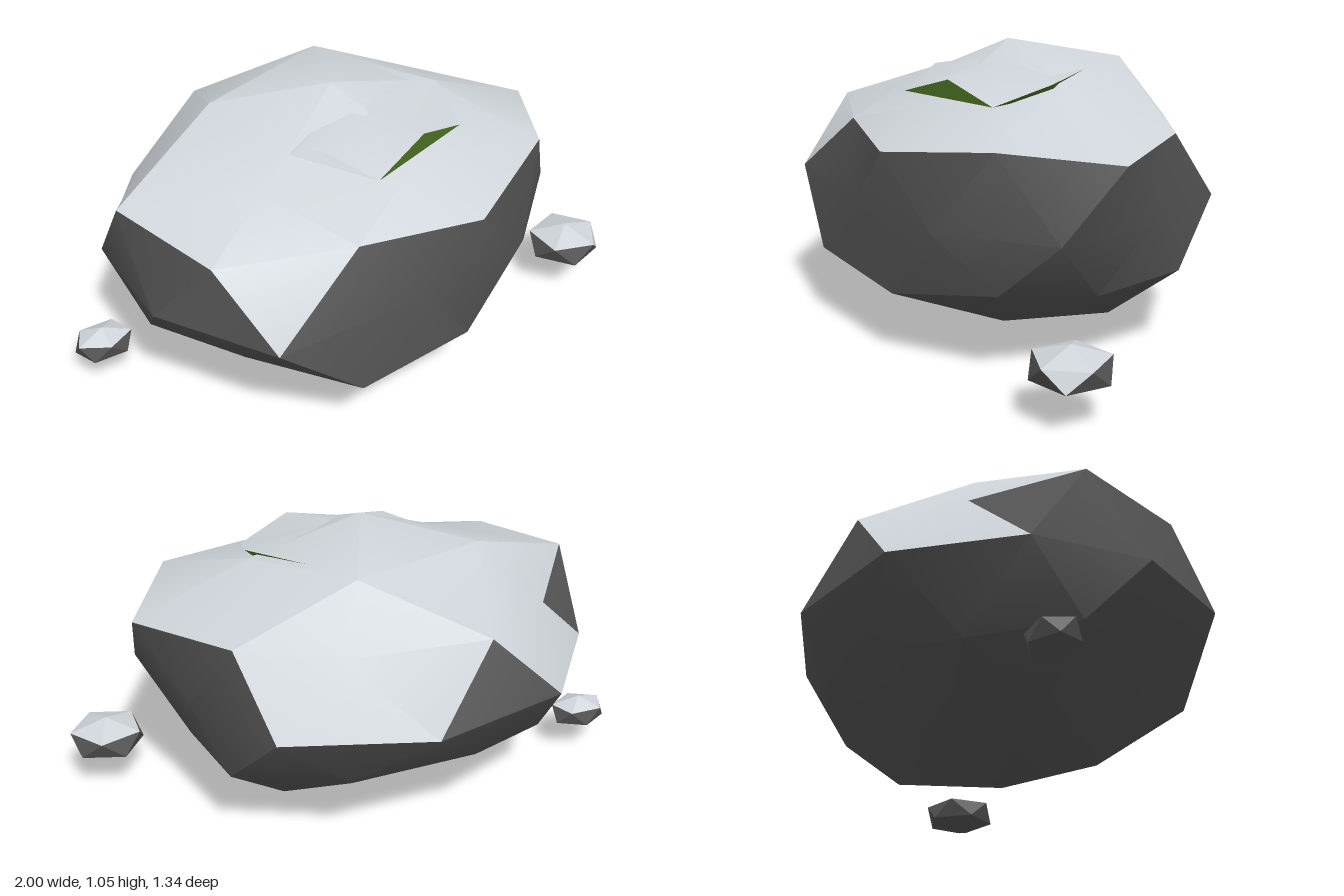
import * as THREE from 'three';
import { toCreasedNormals } from 'three/addons/utils/BufferGeometryUtils.js';

const mat = (name, color, extra = {}) =>
  Object.assign(new THREE.MeshStandardMaterial({ color, ...extra }), { name });

// Triangles in two lists (one per material) become one creased geometry with groups
function facetMesh(name, lists, materials, crease) {
  const flat = [];
  const g = new THREE.BufferGeometry();
  lists.forEach((tris, m) => {
    g.addGroup(flat.length / 3, tris.length * 3, m);
    tris.forEach(t => t.forEach(v => flat.push(v.x, v.y, v.z)));
  });
  g.setAttribute('position', new THREE.Float32BufferAttribute(flat, 3));
  g.computeVertexNormals();
  const mesh = new THREE.Mesh(crease ? toCreasedNormals(g, crease) : g, materials);
  mesh.name = name;
  return mesh;
}

const normalOf = t => new THREE.Triangle(...t).getNormal(new THREE.Vector3());

// Boulder: a squashed, once-divided icosahedron laid out in rings, some corners pushed
function makeBoulder(materials) {
  const centre = new THREE.Vector3(-0.05, 0.527, 0.04);
  const V = {};
  const ring = (key, count, lat, start) => {
    for (let i = 0; i < count; i++) {
      const a = THREE.MathUtils.degToRad(start + i * 360 / count);
      const r = Math.sqrt(1 - lat * lat);
      V[key + i] = new THREE.Vector3(r * Math.cos(a) * 0.84, lat * 0.523, r * Math.sin(a) * 0.68).add(centre);
    }
  };
  ring('top', 1, 1, 0);
  ring('crown', 5, 0.851, 0);
  ring('rim', 5, 0.447, 0);
  ring('rimMid', 5, 0.526, 36);
  ring('waist', 10, 0, 18);
  ring('lowMid', 5, -0.526, 0);
  ring('low', 5, -0.447, 36);
  ring('foot', 5, -0.851, 36);
  ring('base', 1, -1, 0);

  const pushed = {
    crown0: [0.36, 0.94, 0.04], crown1: [0.1, 0.88, 0.36], crown2: [-0.44, 0.86, 0.26],
    crown4: [0.1, 0.98, -0.33],
    rim0: [0.775, 0.77, 0.04], rim1: [0.18, 0.75, 0.62], rim2: [-0.71, 0.77, 0.42],
    rim3: [-0.62, 0.75, -0.28], rim4: [0.2, 0.77, -0.46],
    rimMid0: [0.58, 0.81, 0.4], rimMid1: [-0.26, 0.77, 0.555], rimMid2: [-0.85, 0.81, 0.03],
    rimMid3: [-0.29, 0.8, -0.55], rimMid4: [0.52, 0.785, -0.3],
    waist0: [0.74, 0.53, 0.25], waist1: [0.42, 0.53, 0.55], waist2: [-0.05, 0.53, 0.63],
    waist3: [-0.6, 0.53, 0.64], waist6: [-0.57, 0.53, -0.54], waist7: [-0.06, 0.53, -0.67],
    waist9: [0.64, 0.53, -0.15],
    lowMid0: [0.6, 0.29, 0.04], lowMid2: [-0.58, 0.31, 0.36], lowMid4: [0.18, 0.31, -0.49],
    low0: [0.54, 0.325, 0.37], low1: [-0.31, 0.285, 0.67], low2: [-0.78, 0.31, 0.04],
    low3: [-0.28, 0.32, -0.49], low4: [0.55, 0.31, -0.31],
    foot0: [0.29, 0.13, 0.23], foot2: [-0.48, 0.13, 0.04],
    foot3: [-0.19, 0.11, -0.18], foot4: [0.32, 0.1, -0.17],
  };
  for (const k in pushed) V[k].set(...pushed[k]);

  const pale = [], dark = [];
  const face = (list, ...keys) => {
    const t = keys.map(k => V[k]);
    const out = t[0].clone().add(t[1]).add(t[2]).divideScalar(3).sub(centre);
    if (normalOf(t).dot(out) < 0) t.reverse();
    list.push(t);
  };
  for (let k = 0; k < 5; k++) {
    const n = (k + 1) % 5, p = (k + 4) % 5;
    const w = 'waist' + 2 * k, w1 = 'waist' + (2 * k + 1), w0 = 'waist' + (2 * k + 9) % 10;
    // pale cap
    face(pale, 'top0', 'crown' + k, 'crown' + n);
    face(pale, 'crown' + k, 'crown' + n, 'rimMid' + k);
    face(pale, 'crown' + k, 'rimMid' + k, 'rim' + k);
    face(pale, 'crown' + k, 'rim' + k, 'rimMid' + p);
    // upper sides, pale where the cap runs down
    face(k >= 3 ? pale : dark, 'rim' + k, w, w0);
    face(k >= 3 ? pale : dark, 'rim' + k, 'rimMid' + k, w);
    face(dark, 'rimMid' + k, w1, w);
    face(k === 1 || k === 3 ? pale : dark, 'rimMid' + k, 'rim' + n, w1);
    // underside
    face(dark, 'low' + k, w, w1);
    face(dark, 'lowMid' + k, w0, w);
    face(dark, 'lowMid' + k, w, 'low' + k);
    face(dark, 'lowMid' + n, 'low' + k, w1);
    face(dark, 'foot' + k, 'lowMid' + k, 'low' + k);
    face(dark, 'foot' + k, 'low' + k, 'lowMid' + n);
    face(dark, 'foot' + p, 'foot' + k, 'lowMid' + k);
    face(dark, 'base0', 'foot' + k, 'foot' + n);
  }
  return facetMesh('boulder', [pale, dark], materials, 0.56);
}

// Raised slab on top with mossy edges
function makeSlab(pale, moss) {
  const v = (x, y, z) => new THREE.Vector3(x, y, z);
  const hub = v(0.02, 0.995, 0.12), tip = v(-0.3, 0.925, 0.19), shoulder = v(-0.22, 0.95, 0.25);
  const front = v(-0.1, 0.885, 0.42), peak = v(0.12, 0.955, 0.35), corner = v(0.32, 0.89, 0.28);
  const side = v(0.36, 0.955, 0.08), back = v(0.2, 0.968, -0.14), inner = v(-0.2, 0.96, 0.12);
  const under = v(0.3, 0.91, 0.04);
  const loop = [shoulder, front, peak, corner, side, back, inner];
  const cover = loop.map((a, i) => [hub, a, loop[(i + 1) % loop.length]]);
  cover.push([tip, front, shoulder], [tip, shoulder, inner]);
  const group = new THREE.Group();
  group.name = 'slab';
  group.add(
    facetMesh('slabTop', [cover], [pale], 0.6),
    facetMesh('mossEdge', [[[front, corner, peak], [corner, under, side], [side, under, back]]], [moss], 0));
  return group;
}

// Pebble: an icosahedron standing on a point, fitted to a box
function makePebble(name, min, max, turn, materials, isPale) {
  const g = new THREE.IcosahedronGeometry(1, 0);
  g.rotateX(-Math.atan((1 + Math.sqrt(5)) / 2)).rotateY(turn);
  g.computeBoundingBox();
  const from = g.boundingBox, size = from.getSize(new THREE.Vector3());
  const lo = new THREE.Vector3(...min), span = new THREE.Vector3(...max).sub(lo);
  const pos = g.attributes.position;
  const corner = i => new THREE.Vector3().fromBufferAttribute(pos, i).sub(from.min).divide(size).multiply(span).add(lo);
  const pale = [], dark = [];
  for (let i = 0; i < pos.count; i += 3) {
    const t = [corner(i), corner(i + 1), corner(i + 2)];
    (isPale(normalOf(t)) ? pale : dark).push(t);
  }
  return facetMesh(name, [pale, dark], materials, 0);
}

export function createModel() {
  const pale = mat('paleStone', 0xced4d9);
  const dark = mat('darkStone', 0x545454);
  const moss = mat('moss', 0x4d7322, { side: THREE.DoubleSide });
  const model = new THREE.Group();
  model.name = 'rocks';
  model.add(
    makeBoulder([pale, dark]),
    makeSlab(pale, moss),
    makePebble('leftPebble', [0.73, 0.12, 0.16], [1, 0.27, 0.41], Math.PI / 2, [pale, dark],
      n => n.y > 0.4 || (n.y > 0 && n.x > 0 && n.z > 0.3)),
    makePebble('rightPebble', [-1, 0.1, -0.21], [-0.8, 0.225, -0.05], 0, [pale, dark], n => n.y > 0.4));
  return model;
}
